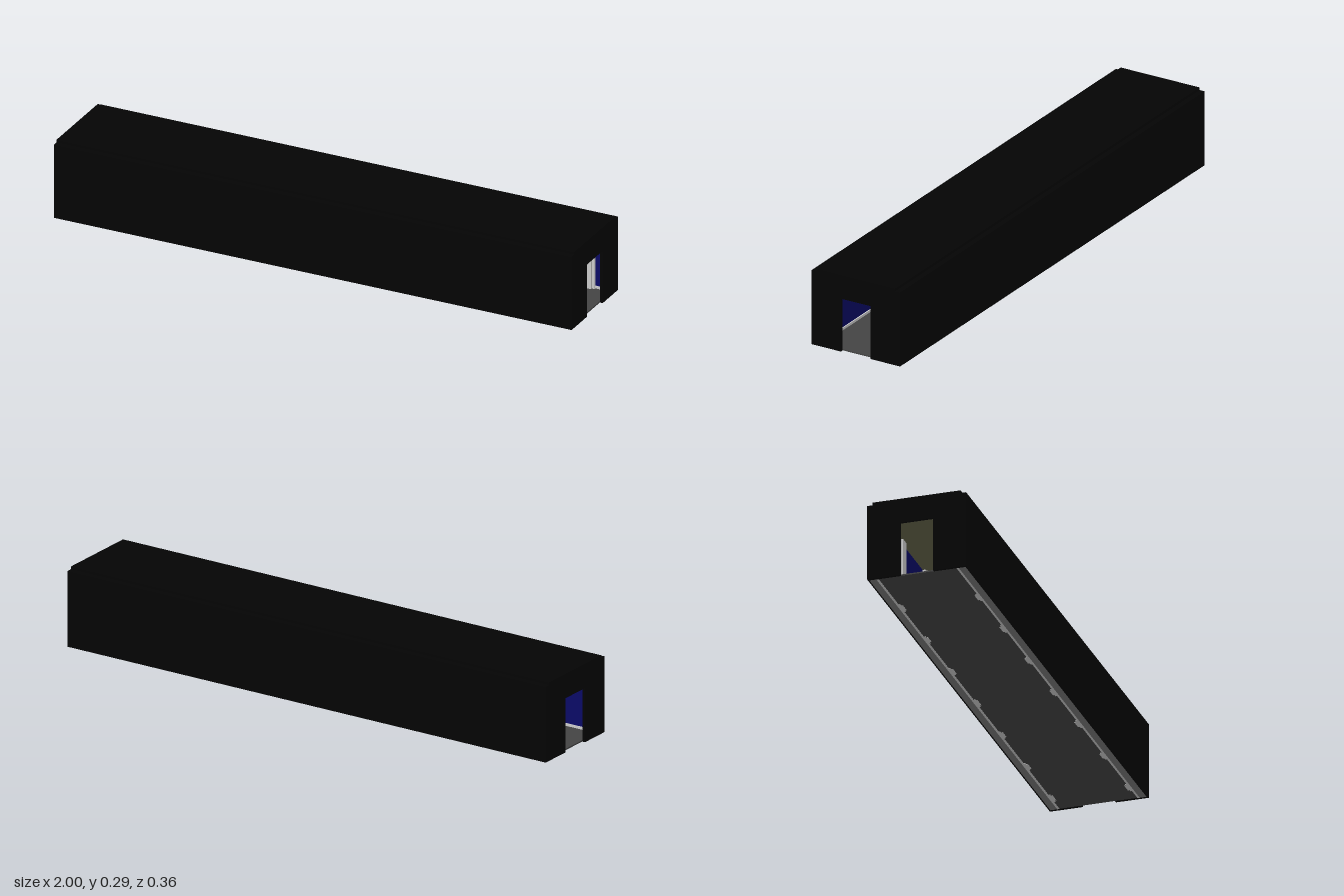
import * as THREE from 'three';

const paint = (color) => new THREE.MeshStandardMaterial({ color });
const black = paint(0x040404);
const white = paint(0xcccccc);
const grey = paint(0x777777);
const floorGrey = paint(0x444444);
const blue = paint(0x0a0a66);
const olive = paint(0x66664c);

// Box given by its lower and upper limits on each axis
function block(name, material, [x0, x1], [y0, y1], [z0, z1]) {
  const mesh = new THREE.Mesh(new THREE.BoxGeometry(x1 - x0, y1 - y0, z1 - z0), material);
  mesh.position.set((x0 + x1) / 2, (y0 + y1) / 2, (z0 + z1) / 2);
  mesh.name = name;
  return mesh;
}

// End wall: a flat panel with an open doorway reaching the ground
function endWall(name, x) {
  const outline = [
    [-0.18, 0], [-0.06, 0], [-0.06, 0.2], [0.06, 0.2], [0.06, 0], [0.18, 0],
    [0.18, 0.28], [-0.18, 0.28],
  ].map(([z, y]) => new THREE.Vector2(z, y));
  const geometry = new THREE.ExtrudeGeometry(new THREE.Shape(outline), { depth: 0.01, bevelEnabled: false });
  geometry.rotateY(Math.PI / 2);
  const mesh = new THREE.Mesh(geometry, black);
  mesh.position.x = x;
  mesh.name = name;
  return mesh;
}

// One long wall, built on the +z side
function sideWall(name) {
  const wall = new THREE.Group();
  wall.name = name;
  wall.add(
    block('outerCladding', black, [-0.99, 0.99], [0, 0.28], [0.175, 0.18]),
    block('wallCore', grey, [-0.99, 0.99], [0, 0.255], [0.15, 0.175]),
    block('innerPanel', blue, [-0.99, 0.99], [0.015, 0.255], [0.146, 0.15]),
    block('skirting', white, [-0.99, 0.99], [0, 0.015], [0.142, 0.15]),
  );
  // Evenly spaced pillars with a narrower raised face
  for (let i = 0; i < 7; i++) {
    const x = 0.9 - i * 0.273;
    wall.add(
      block('pillarBase', white, [x - 0.03, x + 0.03], [0, 0.255], [0.136, 0.15]),
      block('pillarFace', white, [x - 0.02, x + 0.02], [0, 0.255], [0.13, 0.136]),
    );
  }
  return wall;
}

export function createModel() {
  const model = new THREE.Group();
  model.name = 'corridor';

  // Floor, ceiling and the stepped roof
  model.add(
    block('floor', floorGrey, [-0.99, 0.99], [0.001, 0.006], [-0.15, 0.15]),
    block('ceiling', olive, [-0.99, 0.99], [0.255, 0.26], [-0.175, 0.175]),
    block('roofBase', black, [-0.99, 0.99], [0.26, 0.28], [-0.175, 0.175]),
    block('roofCap', black, [-1, 1], [0.28, 0.29], [-0.16, 0.16]),
  );

  // Long walls; the second is turned half round, then its pillars run the same way
  const frontWall = sideWall('frontWall');
  const backWall = sideWall('backWall');
  for (const part of backWall.children) part.position.z *= -1;
  model.add(frontWall, backWall);

  // Open-ended doorways
  model.add(endWall('leftEndWall', 0.99), endWall('rightEndWall', -1));
  return model;
}
